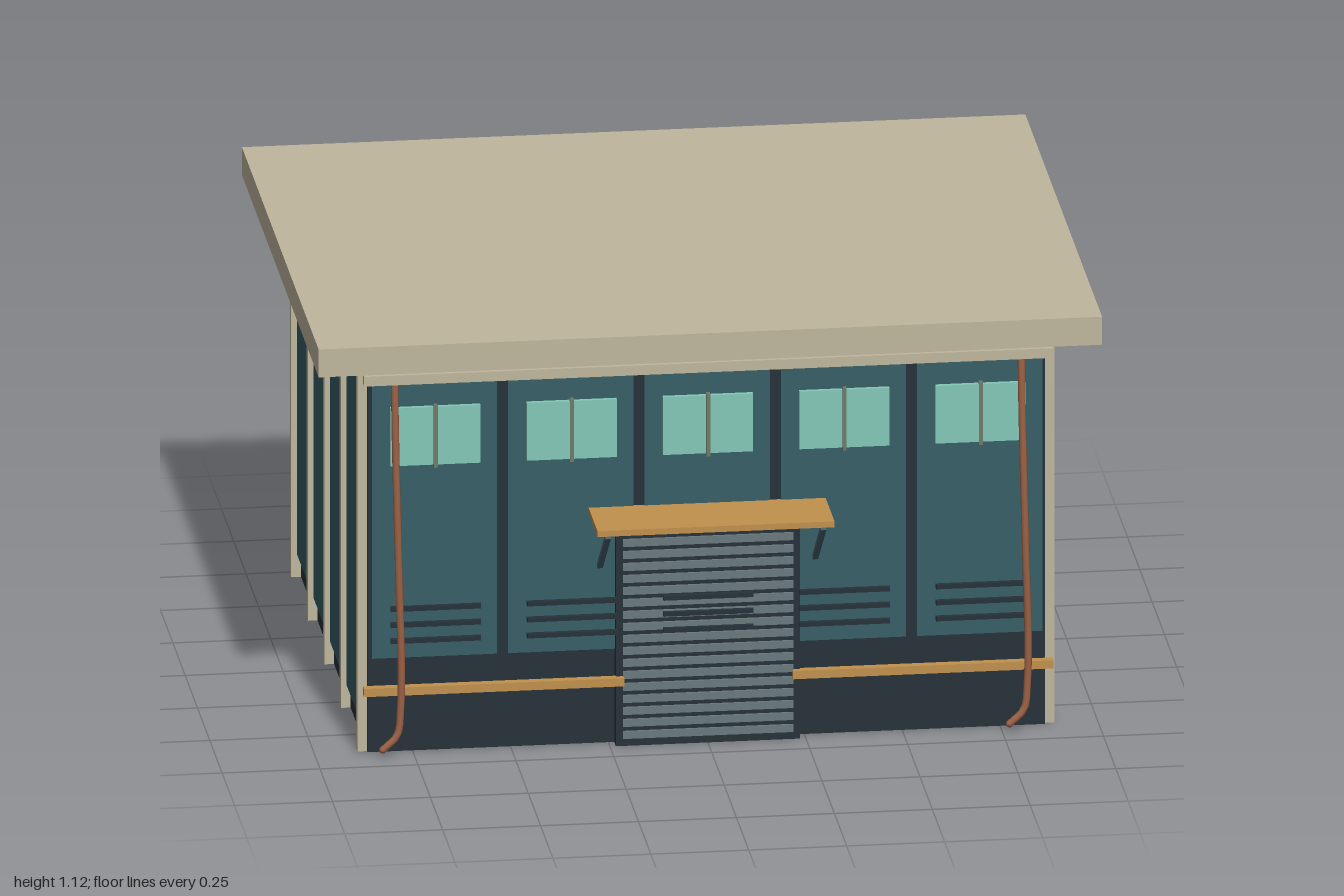
import * as THREE from 'three';

const mat = (color) => new THREE.MeshStandardMaterial({ color });
const M = {
  dark: mat(0x27323a), teal: mat(0x375f66), cream: mat(0xbfb69d), glass: mat(0x82c8b8),
  wood: mat(0xc1914d), steel: mat(0x6b7a7e), strut: mat(0x46606a), copper: mat(0x9c6247),
  bar: mat(0x6f7a68),
};
const CZ = -0.052; // centre of the cabin in depth

// Box given by centre and size
function box(parent, name, material, x, y, z, w, h, d) {
  const m = new THREE.Mesh(new THREE.BoxGeometry(w, h, d), material);
  m.name = name;
  m.position.set(x, y, z);
  parent.add(m);
  return m;
}

// Long wall seen from +z, built around the cabin centre
function longWall(name, railParts) {
  const g = new THREE.Group();
  g.name = name;
  for (let i = -2; i <= 2; i++) {
    const x = i * 0.348;
    box(g, 'wallPanel', M.teal, x, 0.638, 0.697, 0.32, 0.765, 0.02);
    box(g, 'windowPane', M.glass, x, 0.855, 0.722, 0.23, 0.155, 0.012);
    box(g, 'windowBar', M.bar, x, 0.855, 0.727, 0.01, 0.168, 0.014);
    for (let k = 0; k < 3; k++) {
      box(g, 'ventSlat', M.dark, x, 0.31 + k * 0.043, 0.733, 0.23, 0.012, 0.012);
    }
  }
  box(g, 'eaveTrim', M.cream, 0, 1.013, 0.731, 1.76, 0.026, 0.024);
  for (const [a, b] of railParts) {
    box(g, 'bumperRail', M.wood, (a + b) / 2, 0.176, 0.729, b - a, 0.022, 0.022);
  }
  g.position.z = CZ;
  return g;
}

// Side wall with four panels and five posts
function sideWall(s) {
  const g = new THREE.Group();
  g.name = s > 0 ? 'leftWall' : 'rightWall';
  for (let i = 0; i < 4; i++) {
    box(g, 'sidePanel', M.teal, s * 0.866, 0.525, CZ + (i - 1.5) * 0.335, 0.018, 0.93, 0.307);
  }
  for (let i = -2; i <= 2; i++) {
    box(g, 'sidePost', M.cream, s * 0.875, 0.52, CZ + i * 0.335, 0.03, 1.04, 0.027);
  }
  return g;
}

// Shutter door with horizontal slats
function shutterDoor() {
  const g = new THREE.Group();
  g.name = 'shutterDoor';
  box(g, 'doorFrame', M.dark, 0, 0.292, 0.654, 0.47, 0.585, 0.036);
  for (let i = 0; i < 17; i++) {
    box(g, 'shutterSlat', M.steel, 0, 0.03 + i * 0.0322, 0.672, 0.435, 0.02, 0.012);
  }
  return g;
}

// Small canopy held by two diagonal struts
function canopy() {
  const g = new THREE.Group();
  g.name = 'canopy';
  box(g, 'canopyBoard', M.wood, 0, 0.629, 0.743, 0.605, 0.016, 0.185);
  for (const s of [-1, 1]) {
    const strut = box(g, 'canopyStrut', M.strut, s * 0.275, 0.55, 0.746, 0.014, 0.012, 0.215);
    strut.rotation.x = -Math.atan2(0.135, 0.165);
  }
  return g;
}

// Drain pipe hanging from the eave and curling at the ground
function drainPipe(x) {
  const path = new THREE.CatmullRomCurve3([
    [0, 1.02, 0.67], [0.001, 0.85, 0.682], [0.008, 0.5, 0.694], [0.015, 0.25, 0.69],
    [0.013, 0.13, 0.69], [0.004, 0.06, 0.692], [-0.033, 0.024, 0.695],
  ].map((p) => new THREE.Vector3(...p)));
  const m = new THREE.Mesh(new THREE.TubeGeometry(path, 48, 0.0095, 8), M.copper);
  for (const t of [0, 1]) {
    const cap = new THREE.Mesh(new THREE.SphereGeometry(0.0095, 8, 6), M.copper);
    cap.name = 'pipeEnd';
    cap.position.copy(path.getPoint(t));
    m.add(cap);
  }
  m.name = 'drainPipe';
  m.position.x = x;
  return m;
}

export function createModel() {
  const model = new THREE.Group();
  model.name = 'cabin';

  // Shell and roof
  box(model, 'shell', M.dark, 0, 0.522, CZ, 1.73, 1.044, 1.384);
  box(model, 'roof', M.cream, 0, 1.078, -0.057, 2, 0.075, 1.556);

  // Walls
  model.add(longWall('frontWall', [[-0.88, -0.215], [0.215, 0.88]]));
  const back = longWall('backWall', [[-0.88, 0.88]]);
  back.rotation.y = Math.PI;
  model.add(back, sideWall(1), sideWall(-1));

  // Entrance and pipes
  model.add(shutterDoor(), canopy(), drainPipe(-0.8), drainPipe(0.8));
  return model;
}
